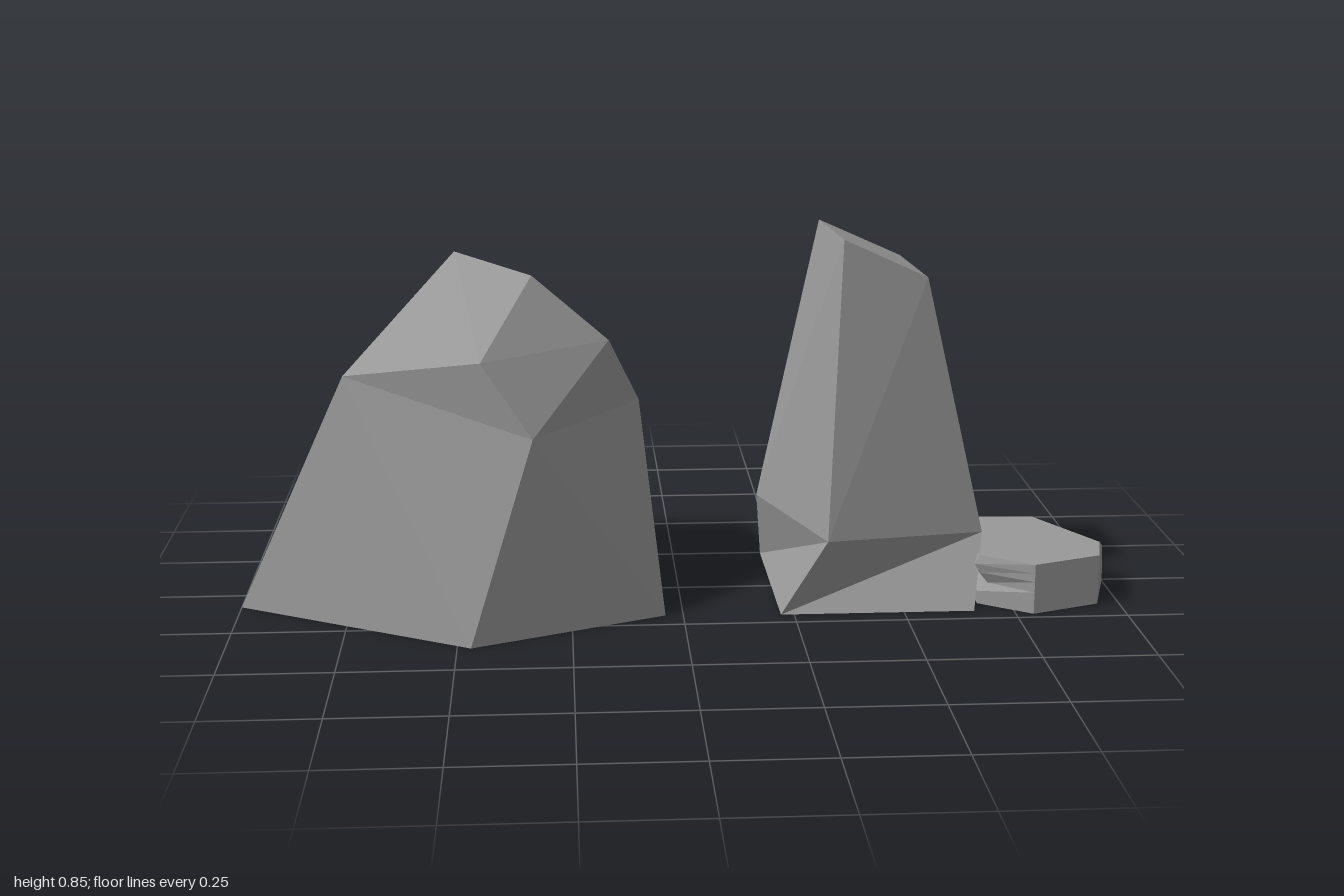
import * as THREE from 'three';

const material = new THREE.MeshStandardMaterial({
  color: 0x999999, flatShading: true, side: THREE.DoubleSide,
});

// Joins a lower and an upper row of points; a repeated point turns its quad into a triangle
function band(lower, upper, closed = true) {
  const out = [];
  const n = lower.length;
  const triangle = (a, b, c) => {
    if (a !== b && b !== c && c !== a) out.push(...a, ...b, ...c);
  };
  for (let i = 0; i < (closed ? n : n - 1); i++) {
    const j = (i + 1) % n;
    triangle(lower[i], lower[j], upper[j]);
    triangle(lower[i], upper[j], upper[i]);
  }
  return out;
}

function rock(name, bands) {
  const geometry = new THREE.BufferGeometry();
  geometry.setAttribute('position', new THREE.Float32BufferAttribute(bands.flat(), 3));
  geometry.computeVertexNormals();
  const mesh = new THREE.Mesh(geometry, material);
  mesh.name = name;
  return mesh;
}

// Wide boulder: pentagon foot, zigzag waist, five shoulders and a two-point crown
function boulder() {
  const [p1, p2, p3, p4, p5] = [
    [-1, 0, 0.08], [-0.47, 0, 0.375], [-0.04, 0, 0.19], [-0.07, 0, -0.36], [-0.57, 0, -0.375]];
  const [w1, w2, w3, w4] = [
    [-0.33, 0.45, 0.325], [-0.09, 0.45, -0.02], [-0.33, 0.45, -0.352], [-0.797, 0.44, -0.02]];
  const [s1, s2, s3, s4, s5] = [
    [-0.745, 0.555, 0.155], [-0.44, 0.61, 0.287], [-0.16, 0.61, 0.07],
    [-0.26, 0.61, -0.262], [-0.63, 0.55, -0.293]];
  const [t1, t2] = [[-0.505, 0.79, -0.065], [-0.33, 0.757, 0.065]];
  return rock('boulder', [
    band([p1, p2, p2, p3, p3, p4, p4, p5, p5, p5, p1],
      [s1, s1, w1, w1, w2, w2, w3, w3, s5, w4, w4]),
    band([s1, w1, w1, w1, w2, w2, w3, w3, w4, w4],
      [s1, s1, s2, s3, s3, s4, s4, s5, s5, s1]),
    band([s1, s2, s2, s3, s4, s4, s5], [t1, t1, t2, t2, t2, t1, t1]),
  ]);
}

// Tall pillar: square foot, twisted knee, sloping top
function pillar() {
  const foot = [[0.22, 0, 0.2], [0.66, 0, 0.2], [0.665, 0, -0.245], [0.215, 0, -0.245]];
  const knee = [
    [0.32, 0.18, 0.232], [0.69, 0.158, 0.108], [0.565, 0.16, -0.267], [0.195, 0.18, -0.145]];
  const top = [
    [0.36, 0.838, 0.11], [0.555, 0.745, 0.075], [0.525, 0.757, -0.143], [0.33, 0.848, -0.108]];
  return rock('pillar', [
    band(foot, knee),
    band(knee, top),
    band([top[0], top[1]], [top[3], top[2]], false),
  ]);
}

// Low slab with a chipped outer corner and a ragged side against the pillar
function pebble() {
  const h = 0.116;
  const b = (y) => [0.79, y, 0.228];
  const f = (y) => [0.72, y, -0.142];
  const [b1, c1, f1] = [b(h), [0.95, h, 0.168], f(h)];
  const foot = [b(0), [0.95, 0, 0.168], [1, 0, 0.01], [0.9, 0, -0.128], f(0)];
  const wall = [b1, c1, [1, 0.035, 0.01], [0.9, 0.08, -0.126], f1];
  const chip = [b1, c1, [0.993, 0.093, 0.025], [0.91, 0.093, -0.105], f1];
  const rim = [b1, c1, [0.975, h, 0.07], [0.86, h, -0.137], f1];

  // Ragged side: height and inward shift of each level
  const levels = [[0, 0], [0.03, 0], [0.05, 0.022], [0.075, 0.002], [0.095, -0.008], [h, 0.002]];
  const ragged = levels.map(([y, dx]) => [f(y), [0.67 + dx, y, -0.07], [0.676 + dx, y, 0.15], b(y)]);
  const bands = ragged.slice(1).map((row, i) => band(ragged[i], row, false));

  const outline = [...rim, ragged[5][1], ragged[5][2]];
  const middle = [0.83, h, 0.03];
  bands.push(
    band(foot, wall, false), band(wall, chip, false), band(chip, rim, false),
    band(outline, outline.map(() => middle)),
  );
  return rock('pebble', bands);
}

export function createModel() {
  const group = new THREE.Group();
  group.name = 'rocks';
  group.add(boulder(), pillar(), pebble());
  return group;
}
